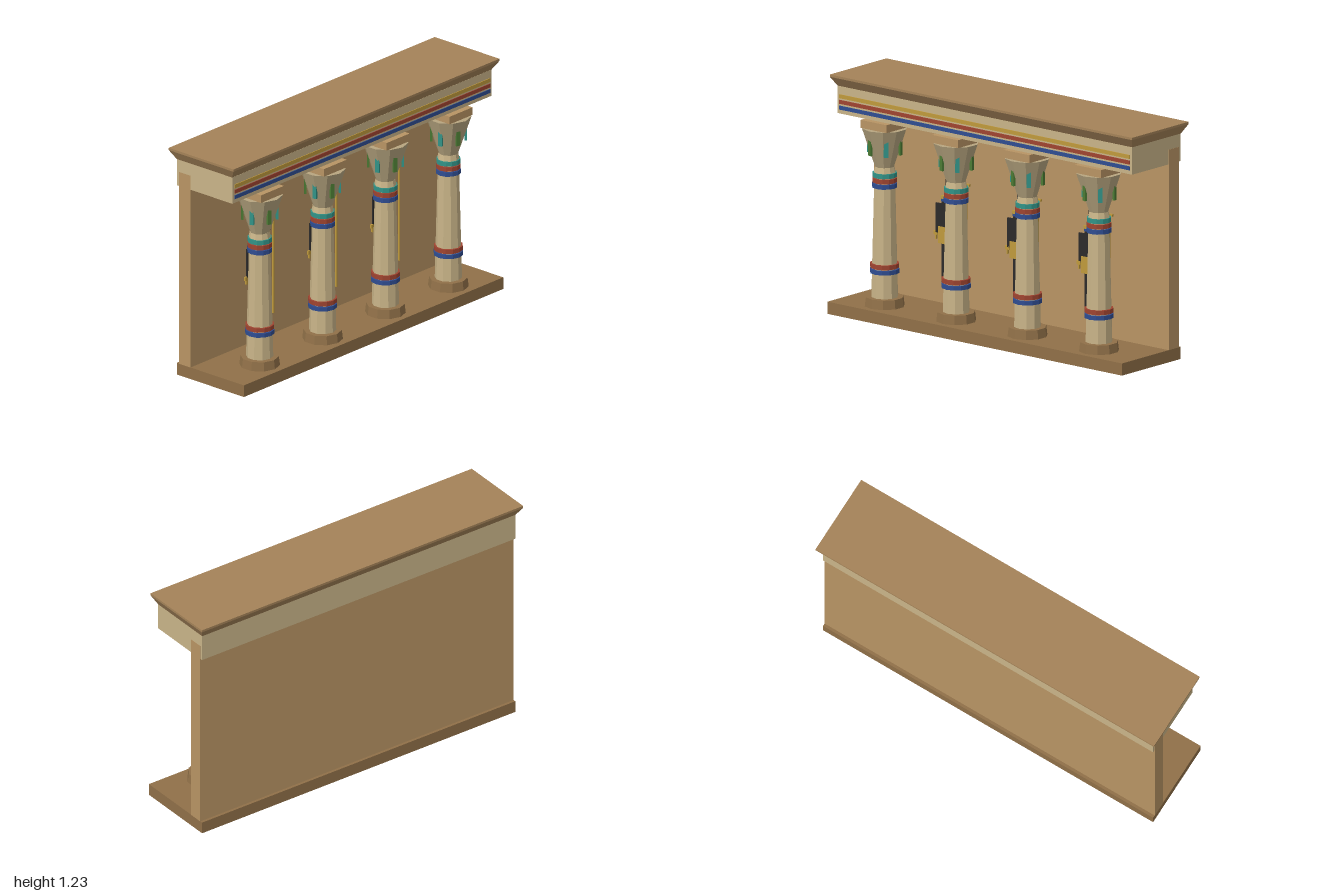
import * as THREE from 'three';

const mat = (color) => new THREE.MeshStandardMaterial({ color, flatShading: true });
const M = {
  wall: mat(0xb89464), plinth: mat(0x907048), cornice: mat(0xa48258), cream: mat(0xc9b488),
  capital: mat(0xb8a680), gold: mat(0xc09a3c), red: mat(0xa04430), blue: mat(0x2f4d92),
  teal: mat(0x329488), green: mat(0x4c7c34), dark: mat(0x2c2a2a),
};

function add(parent, name, geometry, material, x = 0, y = 0, z = 0) {
  const mesh = new THREE.Mesh(geometry, material);
  mesh.name = name;
  mesh.position.set(x, y, z);
  parent.add(mesh);
  return mesh;
}

// Box given by its extents on each axis
function block(parent, name, material, [x0, x1], [y0, y1], [z0, z1]) {
  return add(parent, name, new THREE.BoxGeometry(x1 - x0, y1 - y0, z1 - z0), material,
    (x0 + x1) / 2, (y0 + y1) / 2, (z0 + z1) / 2);
}

// Faceted drum standing between two heights
function drum(parent, name, material, rBottom, rTop, y0, y1, sides = 10) {
  return add(parent, name, new THREE.CylinderGeometry(rTop, rBottom, y1 - y0, sides), material, 0, (y0 + y1) / 2, 0);
}

function createColumn() {
  const column = new THREE.Group();
  column.name = 'column';
  drum(column, 'columnBase', M.plinth, 0.103, 0.097, 0.063, 0.11);
  drum(column, 'shaft', M.cream, 0.069, 0.053, 0.11, 0.76);
  drum(column, 'neck', M.cream, 0.056, 0.05, 0.755, 0.785);
  drum(column, 'capital', M.capital, 0.048, 0.117, 0.78, 0.985);

  // Painted rings round the shaft
  const rings = [
    ['blue', 0.235, 0.257, 0.075], ['red', 0.262, 0.285, 0.074],
    ['blue', 0.677, 0.7, 0.064], ['red', 0.704, 0.727, 0.063], ['teal', 0.731, 0.755, 0.062],
  ];
  for (const [color, y0, y1, r] of rings) drum(column, color + 'Ring', M[color], r, r, y0, y1, 12);

  // Leaves standing against the flared capital
  for (let i = 0; i < 6; i++) {
    const a = Math.PI / 4 + i * Math.PI / 3;
    const leaf = add(column, 'leaf', new THREE.BoxGeometry(0.012, 0.08, 0.022), i % 2 ? M.green : M.teal,
      Math.cos(a) * 0.087, 0.89, Math.sin(a) * 0.087);
    leaf.rotation.y = -a;
  }
  block(column, 'abacus', M.wall, [-0.086, 0.086], [0.985, 1.026], [-0.086, 0.086]);
  return column;
}

// Flat relief of a standing figure with a staff
function createFigure() {
  const figure = new THREE.Group();
  figure.name = 'reliefFigure';
  const parts = [
    ['leg', 'dark', -0.048, -0.021, 0.163, 0.385], ['leg', 'dark', 0.021, 0.048, 0.163, 0.385],
    ['kilt', 'gold', -0.067, 0.065, 0.372, 0.46, 0.002],
    ['torso', 'dark', -0.048, 0.05, 0.45, 0.6],
    ['arm', 'dark', -0.086, -0.048, 0.425, 0.578], ['arm', 'dark', 0.05, 0.082, 0.468, 0.6],
    ['collar', 'gold', -0.05, 0.056, 0.594, 0.622, 0.002],
    ['collarBand', 'blue', -0.046, 0.05, 0.592, 0.605, 0.003],
    ['head', 'dark', -0.024, 0.026, 0.62, 0.678], ['muzzle', 'dark', 0.026, 0.086, 0.635, 0.655],
    ['ear', 'dark', -0.02, -0.004, 0.678, 0.738], ['ear', 'dark', 0.004, 0.02, 0.678, 0.738],
    ['pendant', 'gold', -0.1, -0.074, 0.412, 0.432], ['pendantStem', 'gold', -0.091, -0.083, 0.39, 0.412],
    ['staff', 'gold', 0.111, 0.117, 0.175, 0.702], ['staffTop', 'gold', 0.092, 0.136, 0.696, 0.708],
  ];
  for (const [name, color, x0, x1, y0, y1, lift = 0] of parts) {
    block(figure, name, M[color], [x0, x1], [y0, y1], [-0.12, -0.107 + lift]);
  }
  return figure;
}

export function createModel() {
  const model = new THREE.Group();
  model.name = 'templeFacade';

  // Plinth, rear wall and beam
  block(model, 'plinth', M.plinth, [-0.975, 0.975], [0, 0.063], [-0.21, 0.243]);
  block(model, 'rearWall', M.wall, [-0.976, 0.976], [0.063, 1.102], [-0.195, -0.117]);
  block(model, 'architrave', M.cream, [-0.975, 0.975], [1.026, 1.168], [-0.21, 0.165]);

  // Cornice: a box whose lower corners are drawn in, with a thin lip above
  const flare = new THREE.BoxGeometry(2, 0.047, 0.437);
  const p = flare.attributes.position;
  for (let i = 0; i < p.count; i++) {
    if (p.getY(i) < 0) p.setXYZ(i, p.getX(i) * 0.975, p.getY(i), p.getZ(i) * 0.858);
  }
  flare.computeVertexNormals();
  add(model, 'cornice', flare, M.cornice, 0, 1.1915, -0.0235);
  block(model, 'corniceLip', M.cornice, [-1, 1], [1.215, 1.227], [-0.242, 0.195]);

  // Painted stripes along the beam
  [['blue', 1.047], ['red', 1.077], ['gold', 1.106]].forEach(([color, y]) =>
    block(model, color + 'Stripe', M[color], [-0.96, 0.96], [y, y + 0.02], [0.16, 0.169]));

  for (const x of [-0.709, -0.236, 0.236, 0.709]) {
    const column = createColumn();
    column.position.set(x, 0, 0.111);
    model.add(column);
  }
  for (const x of [-0.473, 0, 0.473]) {
    const figure = createFigure();
    figure.position.x = x;
    model.add(figure);
  }
  return model;
}
